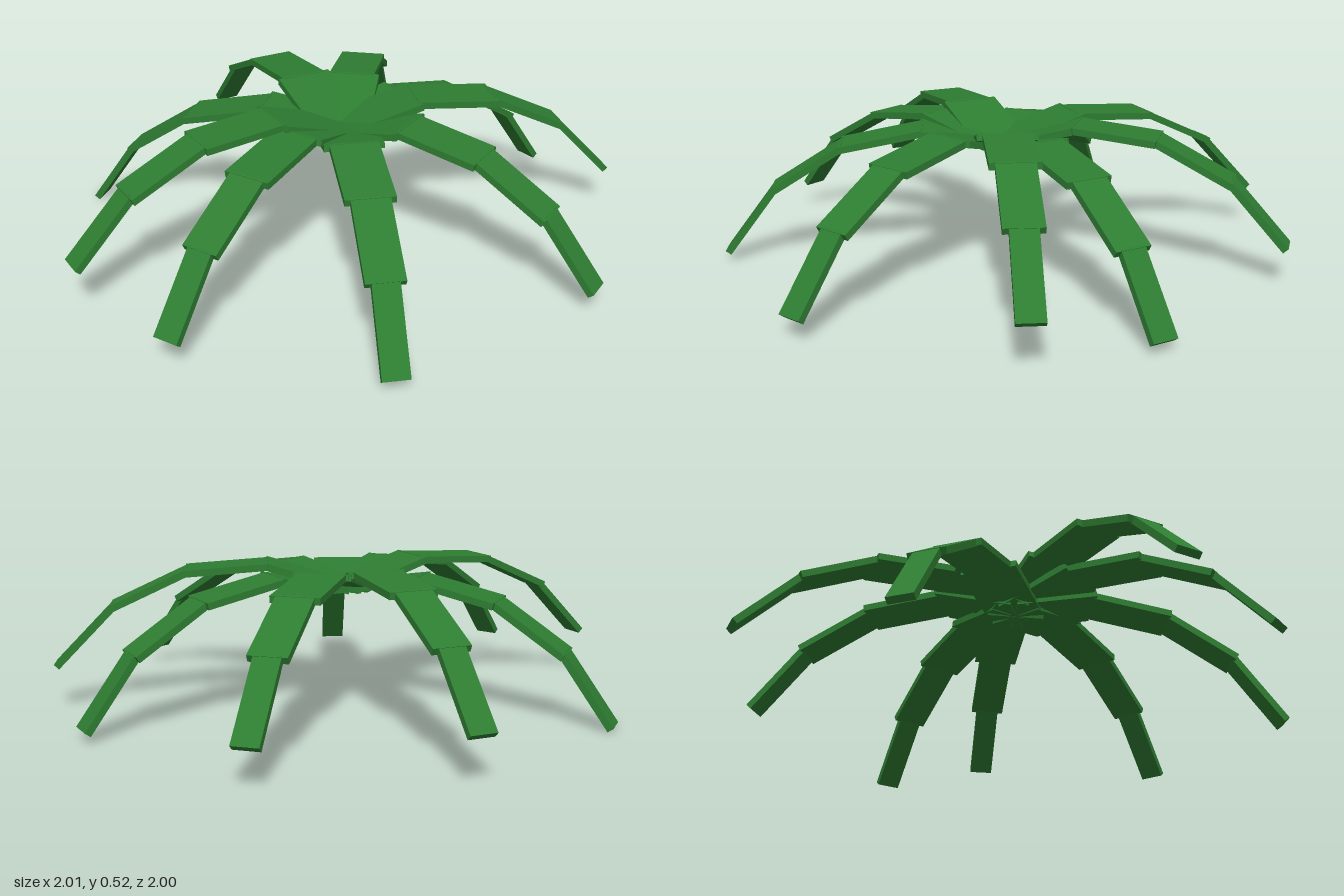
import * as THREE from 'three';

export function createModel() {
  const model = new THREE.Group();
  model.name = 'frondCrown';
  const green = new THREE.MeshStandardMaterial({ color: 0x2e7d32 });
  green.name = 'leafGreen';

  const rad = THREE.MathUtils.degToRad;
  const widths = [0.206, 0.168, 0.13, 0.09];
  const step = 0.287, overlap = 0.012, thickness = 0.024, drop = 21;

  // One drooping frond: four narrowing slabs, each tilted further down
  function frond(heading, pitch) {
    const group = new THREE.Group();
    group.name = 'frond';
    let x = 0, y = 0;
    widths.forEach((width, i) => {
      const tilt = rad(pitch - drop * i);
      const dx = Math.cos(tilt) * step, dy = Math.sin(tilt) * step;
      const slab = new THREE.Mesh(new THREE.BoxGeometry(step + overlap, thickness, width), green);
      slab.name = 'frondSegment' + (i + 1);
      slab.position.set(x + dx / 2, y + dy / 2, 0);
      slab.rotation.z = tilt;
      group.add(slab);
      x += dx;
      y += dy;
    });
    group.position.set(0.012, 0.422, 0);
    group.rotation.y = -rad(heading);
    return group;
  }

  // Heading around the crown (from +x towards +z) and starting pitch, in degrees
  const fronds = [
    [8.2, 9.9], [32.9, 17.2], [77.1, 12], [125.2, 9.9], [166.5, 13.4],
    [192.4, 17.8], [241.1, 8.5], [286.1, 17], [324.6, 15.5],
  ];
  for (const [heading, pitch] of fronds) model.add(frond(heading, pitch));
  return model;
}
